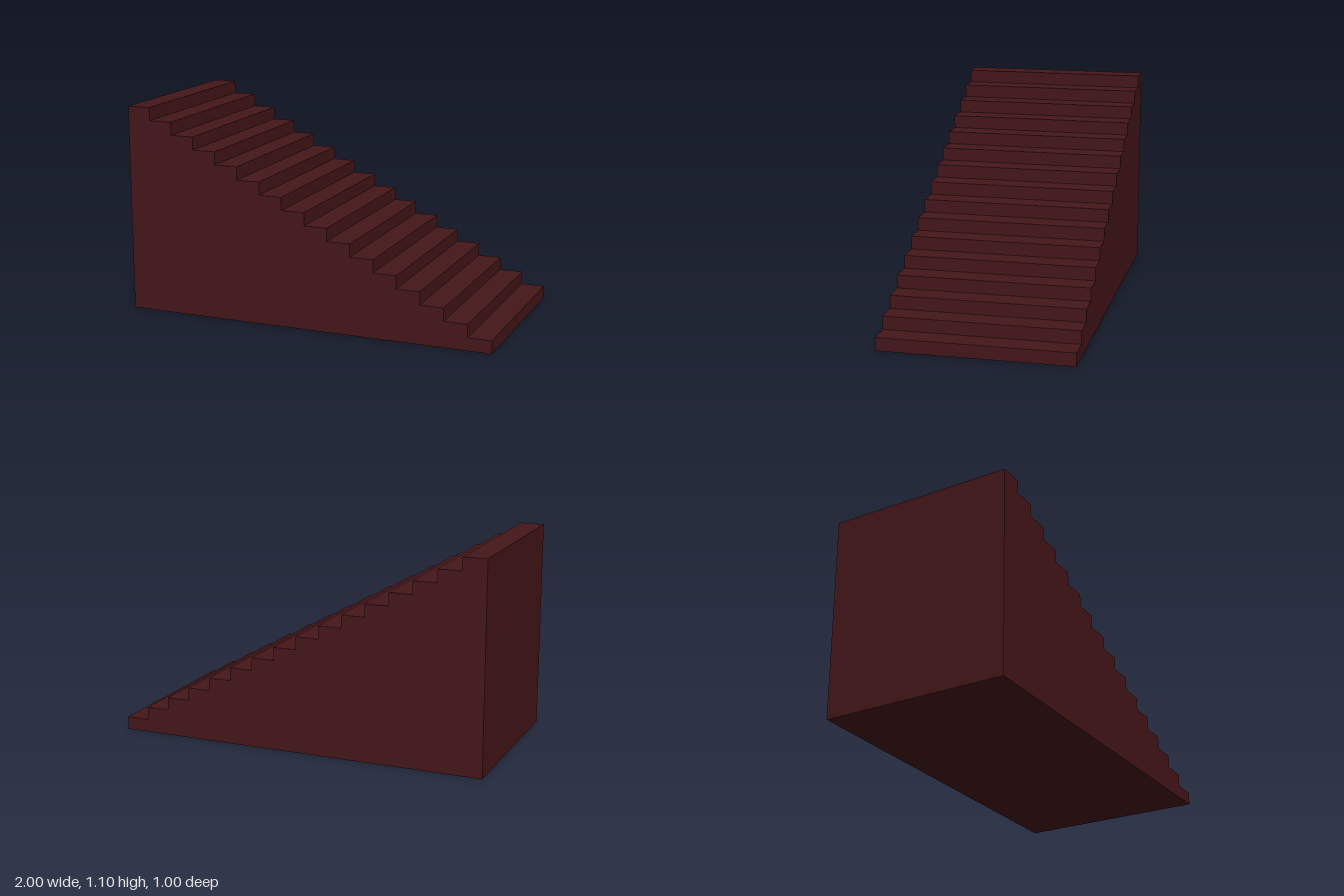
import * as THREE from 'three';

const STEPS = 16;
const LENGTH = 2;
const HEIGHT = 1.1;
const WIDTH = 1;

export function createModel() {
  const group = new THREE.Group();
  group.name = 'staircase';

  // Stepped side profile, climbing from +x to -x
  const run = LENGTH / STEPS;
  const rise = HEIGHT / STEPS;
  const profile = new THREE.Shape();
  profile.moveTo(-LENGTH / 2, 0);
  profile.lineTo(LENGTH / 2, 0);
  for (let i = 0; i < STEPS; i++) {
    const y = (i + 1) * rise;
    profile.lineTo(LENGTH / 2 - i * run, y); // riser
    profile.lineTo(LENGTH / 2 - (i + 1) * run, y); // tread
  }
  profile.closePath();

  // Solid flight of stairs, extruded across its width
  const geometry = new THREE.ExtrudeGeometry(profile, { depth: WIDTH, bevelEnabled: false });
  geometry.translate(0, 0, -WIDTH / 2);
  const material = new THREE.MeshStandardMaterial({ color: 0x451619 });
  const stairs = new THREE.Mesh(geometry, material);
  stairs.name = 'solidStairs';
  group.add(stairs);

  return group;
}
